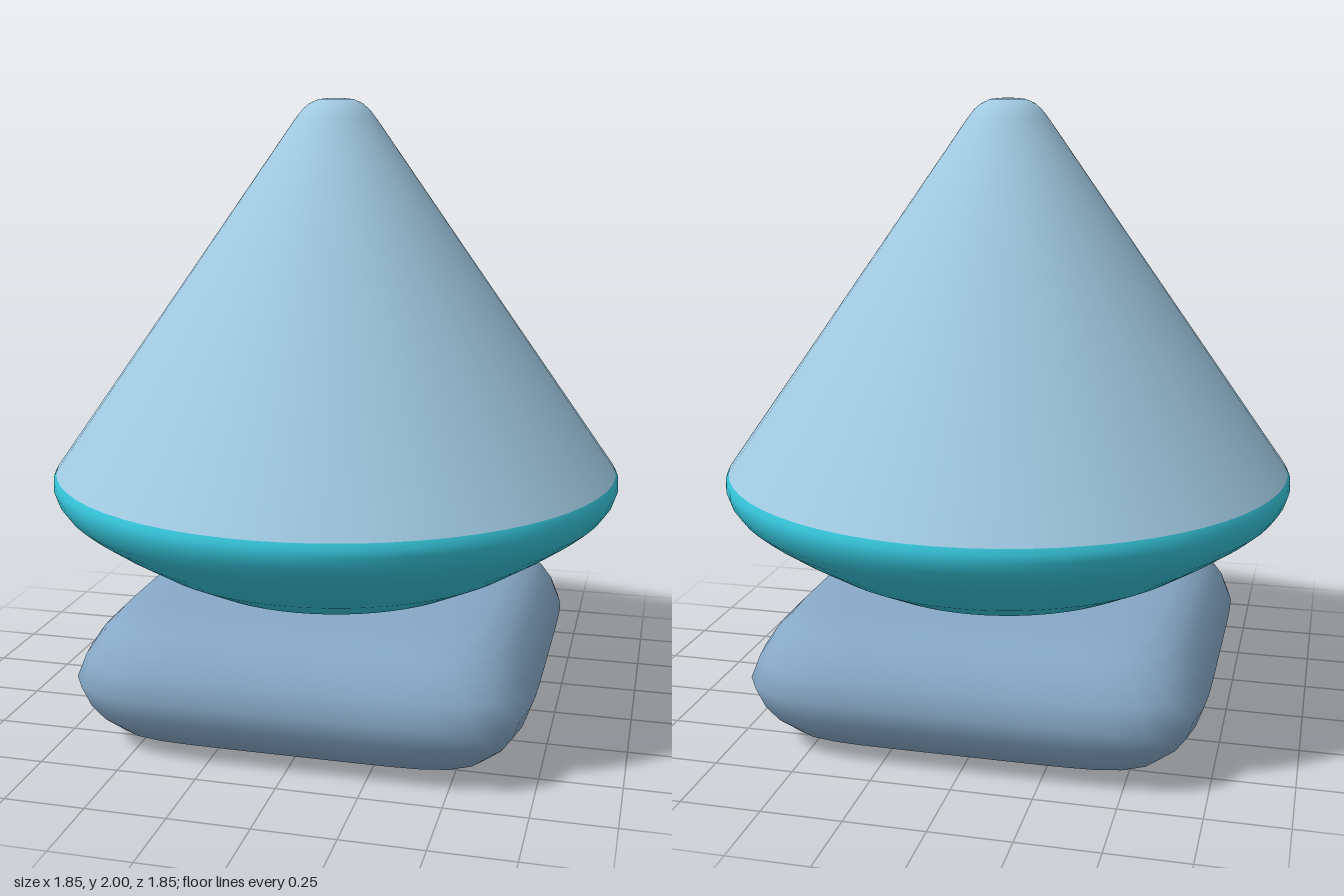
import * as THREE from 'three';
import { mergeVertices } from 'three/addons/utils/BufferGeometryUtils.js';

const SEGMENTS = 64;

// Revolve [radius, y] points, listed from bottom to top
function lathe(points) {
  return new THREE.LatheGeometry(points.map(([r, y]) => new THREE.Vector2(r, y)), SEGMENTS);
}

function addPart(group, name, geometry, color) {
  const mesh = new THREE.Mesh(geometry, new THREE.MeshStandardMaterial({ color, side: THREE.DoubleSide }));
  mesh.name = name;
  group.add(mesh);
}

// Turn a revolved form into a soft square by pushing out its diagonals
function squared(geometry, power) {
  geometry.deleteAttribute('uv');
  geometry.deleteAttribute('normal');
  const p = geometry.attributes.position;
  for (let i = 0; i < p.count; i++) {
    const x = p.getX(i), z = p.getZ(i), r = Math.hypot(x, z);
    if (r < 1e-6) continue;
    const k = Math.pow(Math.abs(x / r) ** power + Math.abs(z / r) ** power, -1 / power);
    p.setX(i, x * k);
    p.setZ(i, z * k);
  }
  const merged = mergeVertices(geometry, 1e-5);
  merged.computeVertexNormals();
  return merged;
}

export function createModel() {
  const group = new THREE.Group();

  // Pillow-shaped square base, its profile mirrored about mid height
  const half = [[0, 0], [0.3, 0.004], [0.48, 0.012], [0.56, 0.022], [0.62, 0.045], [0.665, 0.09], [0.7, 0.145]];
  const upper = half.map(([r, y]) => [r, 0.43 - y]).reverse();
  addPart(group, 'base', squared(lathe([...half, [0.725, 0.215], ...upper]), 6.5), 0x86a8c6);

  // Shallow bowl with a rounded rim
  addPart(group, 'bowl', lathe([
    [0, 0.395], [0.25, 0.405], [0.4, 0.427], [0.5, 0.46], [0.64, 0.53], [0.76, 0.605],
    [0.85, 0.668], [0.89, 0.702], [0.915, 0.737], [0.927, 0.772], [0.926, 0.797], [0.917, 0.815],
  ]), 0x35c4d9);

  // Tall cone with a blunted tip
  addPart(group, 'cone', lathe([
    [0.917, 0.815], [0.72, 1.095], [0.42, 1.522], [0.13, 1.936], [0.108, 1.964],
    [0.085, 1.984], [0.055, 1.997], [0.025, 2], [0, 2],
  ]), 0x9fc8e0);

  return group;
}
